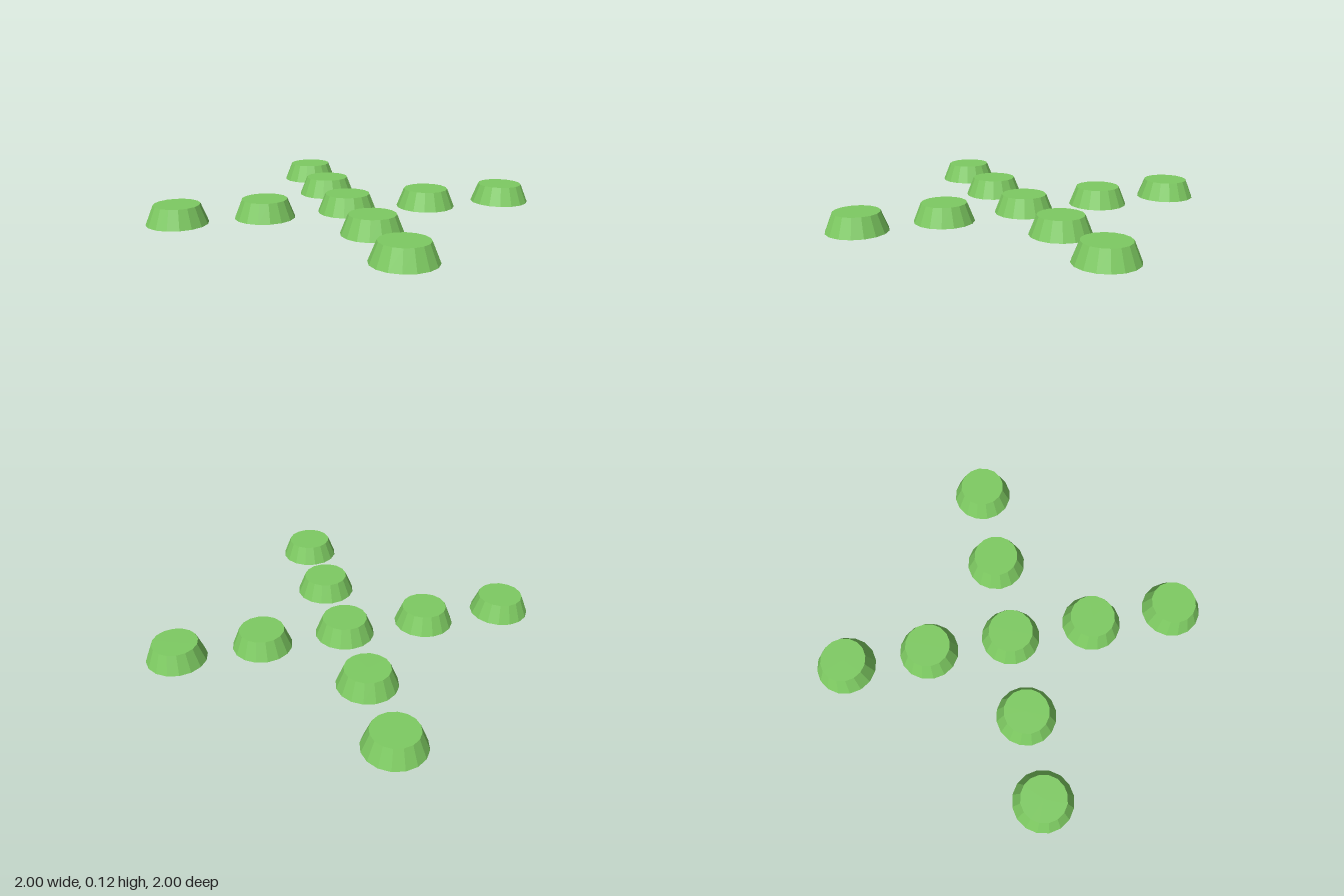
import * as THREE from 'three';

export function createModel() {
  const model = new THREE.Group();
  model.name = 'padCross';
  const green = new THREE.MeshStandardMaterial({ color: 0x7ecb62, flatShading: true });
  green.name = 'leafGreen';

  // One tapered round pad, shared by the whole cross
  const height = 0.125;
  const padGeometry = new THREE.CylinderGeometry(0.15, 0.2, height, 16);
  padGeometry.translate(0, height / 2, 0);

  const addPad = (name, x, z) => {
    const pad = new THREE.Mesh(padGeometry, green);
    pad.name = name;
    pad.position.set(x, 0, z);
    model.add(pad);
  };

  // Centre pad, then two rings of pads along the diagonals
  addPad('centrePad', 0, 0);
  for (const [ring, d] of [['inner', 0.4], ['outer', 0.8]]) {
    for (const [side, sx] of [['Left', 1], ['Right', -1]]) {
      for (const [end, sz] of [['Front', 1], ['Back', -1]]) {
        addPad(`${ring}${end}${side}Pad`, sx * d, sz * d);
      }
    }
  }
  return model;
}
